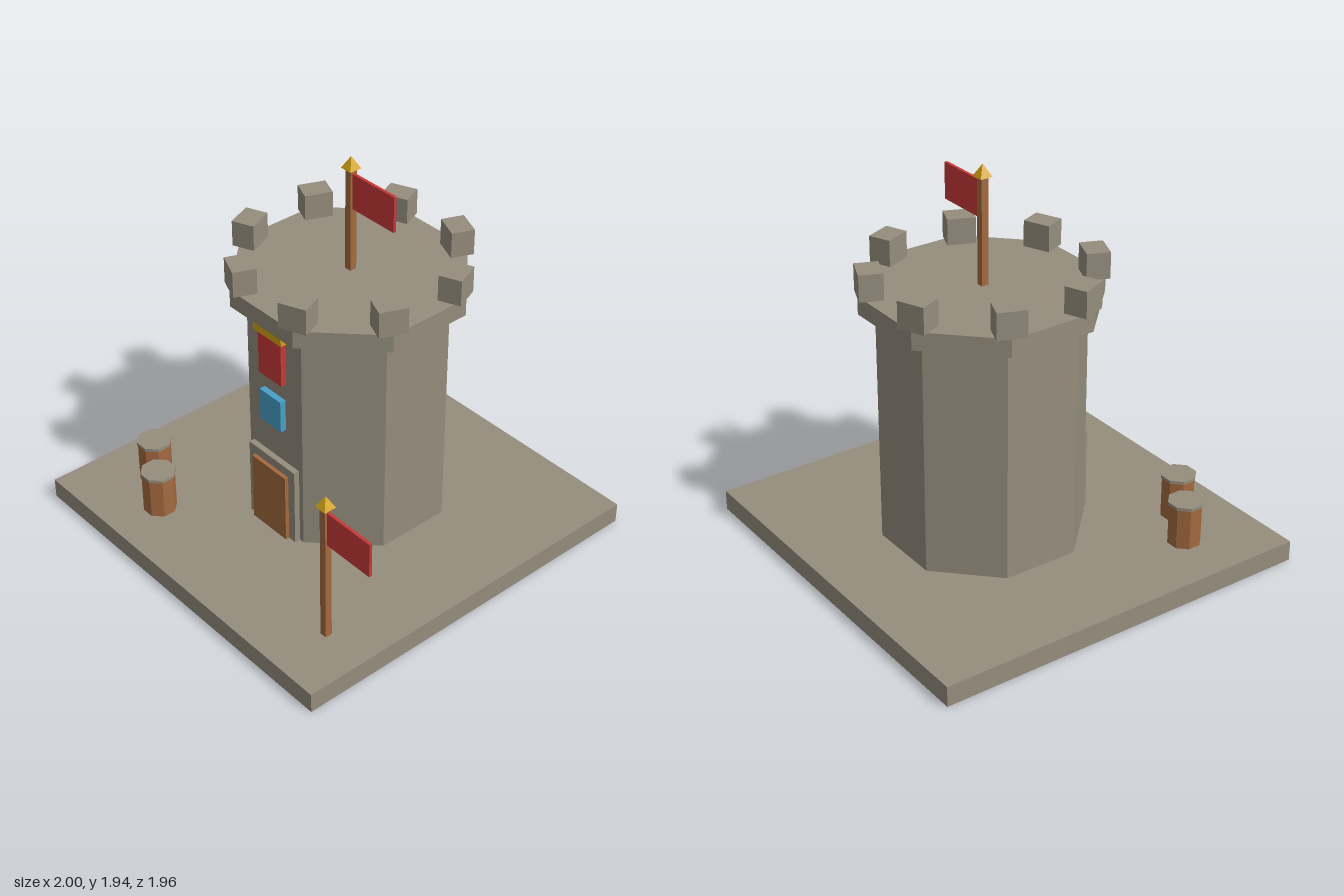
import * as THREE from 'three';

const mat = (name, color) => {
  const m = new THREE.MeshStandardMaterial({ color });
  m.name = name;
  return m;
};

// Faceted n-sided prism or cone with flat sides facing the axes; a is the centre-to-side distance
function prism(aTop, aBottom, height, sides) {
  const k = 1 / Math.cos(Math.PI / sides);
  const g = new THREE.CylinderGeometry(aTop * k, aBottom * k, height, sides, 1, false, Math.PI / sides).toNonIndexed();
  g.computeVertexNormals();
  return g;
}

export function createModel() {
  const root = new THREE.Group();
  root.name = 'castleTower';
  const stone = mat('stone', 0x958d7d);
  const wood = mat('wood', 0xa4693f);
  const red = mat('red cloth', 0xc83838);
  const gold = mat('gold', 0xd6a414);
  const blue = mat('blue glass', 0x48a0c8);
  stone.side = THREE.DoubleSide;

  const add = (parent, name, geo, material, x, y, z) => {
    const mesh = new THREE.Mesh(geo, material);
    mesh.name = name;
    mesh.position.set(x, y, z);
    parent.add(mesh);
    return mesh;
  };
  // Box given by its centre in x and z and its bottom and top heights
  const box = (parent, name, material, w, d, y0, y1, x, z) =>
    add(parent, name, new THREE.BoxGeometry(w, y1 - y0, d), material, x, (y0 + y1) / 2, z);

  const GROUND = 0.102, CX = -0.0215, CZ = -0.104;

  // Base slab, open underneath (the bottom face is the fourth of six)
  const slab = new THREE.BoxGeometry(1.957, GROUND, 1.957);
  const idx = Array.from(slab.index.array);
  idx.splice(18, 6);
  slab.setIndex(idx);
  slab.clearGroups();
  add(root, 'base', slab, stone, CX, GROUND / 2, 0);

  // Tower, with its origin on the tower axis
  const tower = new THREE.Group();
  tower.name = 'tower';
  tower.position.set(CX, 0, CZ);
  root.add(tower);
  const WALL = 0.458, CROWN0 = 1.273, CROWN1 = 1.362;
  add(tower, 'towerBody', prism(WALL, WALL, CROWN0 - GROUND, 8), stone, 0, (GROUND + CROWN0) / 2, 0);
  add(tower, 'crown', prism(0.53, 0.53, CROWN1 - CROWN0, 8), stone, 0, (CROWN0 + CROWN1) / 2, 0);

  // Battlements on the crown corners
  for (let i = 0; i < 8; i++) {
    const a = (i + 0.5) * Math.PI / 4;
    const m = box(tower, 'battlement', stone, 0.138, 0.113, CROWN1, 1.493, Math.sin(a) * 0.52, Math.cos(a) * 0.52);
    m.rotation.y = a;
  }

  // Fittings on the front wall: each stands out from the wall by its own depth
  const onWall = (name, material, w, out, y0, y1) =>
    box(tower, name, material, w, out + 0.01, y0, y1, 0, WALL + (out - 0.01) / 2);
  onWall('doorFrame', stone, 0.328, 0.03, GROUND, 0.516);
  onWall('door', wood, 0.24, 0.05, GROUND, 0.469);
  onWall('window', blue, 0.148, 0.031, 0.705, 0.875);
  onWall('banner', red, 0.16, 0.028, 0.967, 1.2);
  onWall('bannerRail', gold, 0.196, 0.04, 1.2, 1.239);

  // Flagpoles with pyramid tips
  function flagpole(name, x, z, y0, y1) {
    const g = new THREE.Group();
    g.name = name;
    g.position.set(x, 0, z);
    root.add(g);
    box(g, 'pole', wood, 0.036, 0.036, y0, y1, 0, 0);
    add(g, 'tip', prism(0, 0.032, 0.06, 4), gold, 0, y1 + 0.03, 0);
    box(g, 'flag', red, 0.271, 0.015, y1 - 0.199, y1 - 0.021, 0.1535, 0);
  }
  flagpole('towerFlagpole', CX, CZ, CROWN1, 1.883);
  flagpole('yardFlagpole', 0.71, 0.68, GROUND, 0.836);

  // Barrels with stone lids
  for (const [x, z] of [[-0.7, 0.575], [-0.492, 0.706]]) {
    const g = new THREE.Group();
    g.name = 'barrel';
    g.position.set(x, 0, z);
    root.add(g);
    add(g, 'barrelBody', prism(0.076, 0.076, 0.31 - GROUND, 8), wood, 0, (0.31 + GROUND) / 2, 0);
    add(g, 'barrelLid', prism(0.081, 0.081, 0.016, 8), stone, 0, 0.318, 0);
  }
  return root;
}
